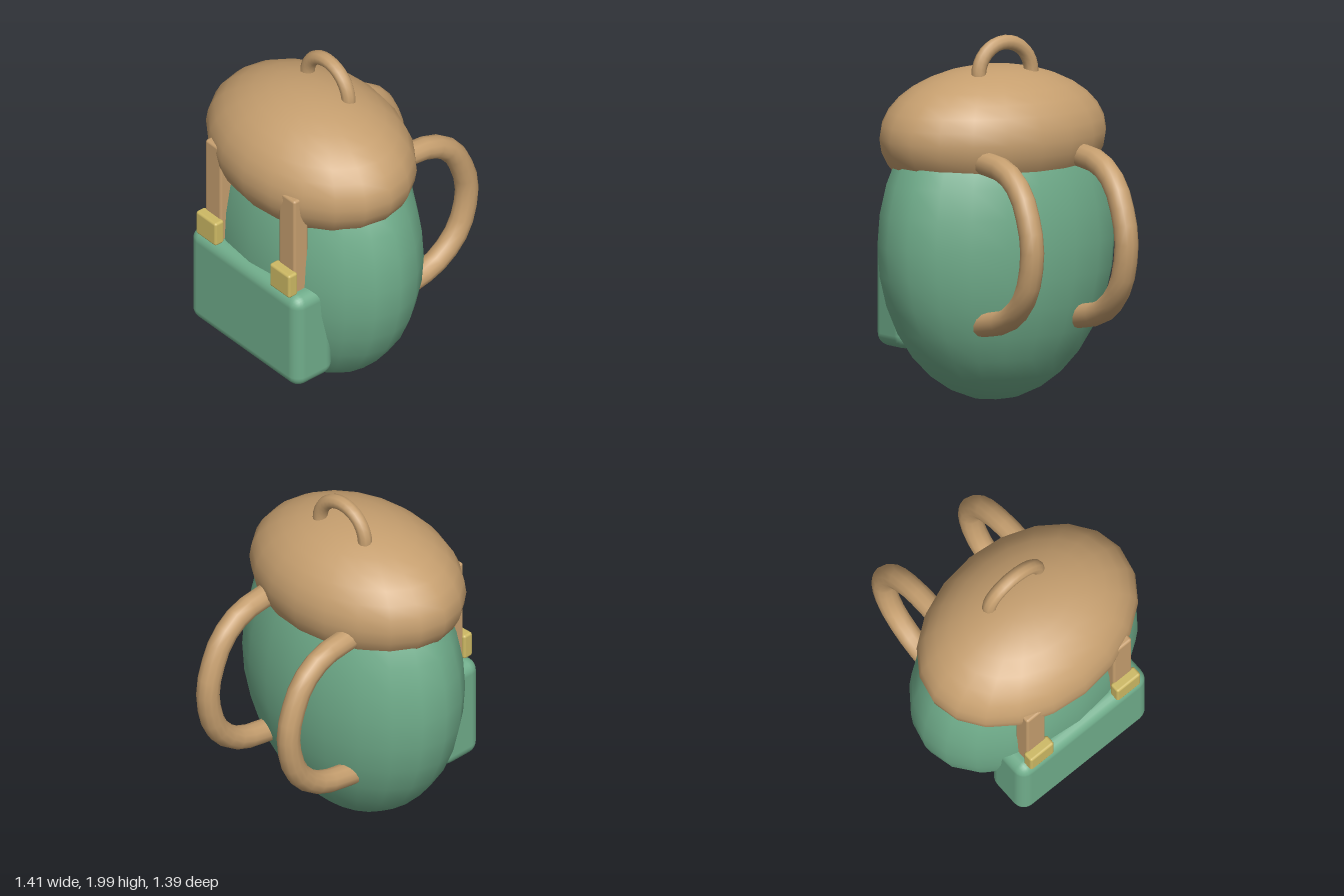
import * as THREE from 'three';
import { RoundedBoxGeometry } from 'three/addons/geometries/RoundedBoxGeometry.js';

const material = (name, color) => {
  const m = new THREE.MeshStandardMaterial({ color });
  m.name = name;
  return m;
};

export function createModel() {
  const canvas = material('green canvas', 0x70ad8b);
  const leather = material('tan leather', 0xc69f6f);
  const brass = material('yellow brass', 0xcdb964);

  const group = new THREE.Group();
  group.name = 'backpack';

  const add = (name, geometry, mat, x = 0, y = 0, z = 0) => {
    const mesh = new THREE.Mesh(geometry, mat);
    mesh.name = name;
    mesh.position.set(x, y, z);
    group.add(mesh);
    return mesh;
  };
  const ellipsoid = (rx, ry, rz) => new THREE.SphereGeometry(1, 20, 16).scale(rx, ry, rz);

  // Egg-shaped sack and the domed lid over it
  add('body', ellipsoid(0.705, 0.87, 0.47), canvas, 0, 0.88, 0.175);
  add('lid', ellipsoid(0.665, 0.375, 0.487), leather, 0, 1.45, 0.207);

  // Carry loop on top
  add('topHandle', new THREE.TorusGeometry(0.17, 0.04, 10, 16, Math.PI), leather, 0, 1.79, 0.09);

  // Front pocket
  add('frontPocket', new RoundedBoxGeometry(0.9, 0.6, 0.28, 3, 0.07), canvas, 0, 0.58, 0.555);

  // Shoulder strap centreline as [y, z], from top to bottom
  const strapPath = [
    [1.36, -0.14], [1.33, -0.375], [1.235, -0.515], [1.1, -0.59], [0.93, -0.63],
    [0.705, -0.58], [0.585, -0.48], [0.52, -0.365], [0.475, -0.14],
  ];

  for (const [side, s] of [['left', 1], ['right', -1]]) {
    const x = 0.305 * s;
    // Closing strap running from the lid to the pocket, with its buckle
    add(side + 'ClosingStrap', new RoundedBoxGeometry(0.13, 0.65, 0.1, 2, 0.015), leather, x, 1.165, 0.593);
    add(side + 'Buckle', new RoundedBoxGeometry(0.165, 0.15, 0.065, 2, 0.015), brass, x, 0.948, 0.6625);
    // Curved shoulder strap; its ends sink into the sack
    const curve = new THREE.CatmullRomCurve3(strapPath.map(([y, z]) => new THREE.Vector3(0, y, z)));
    add(side + 'ShoulderStrap', new THREE.TubeGeometry(curve, 16, 0.065, 12), leather, x);
  }

  return group;
}
